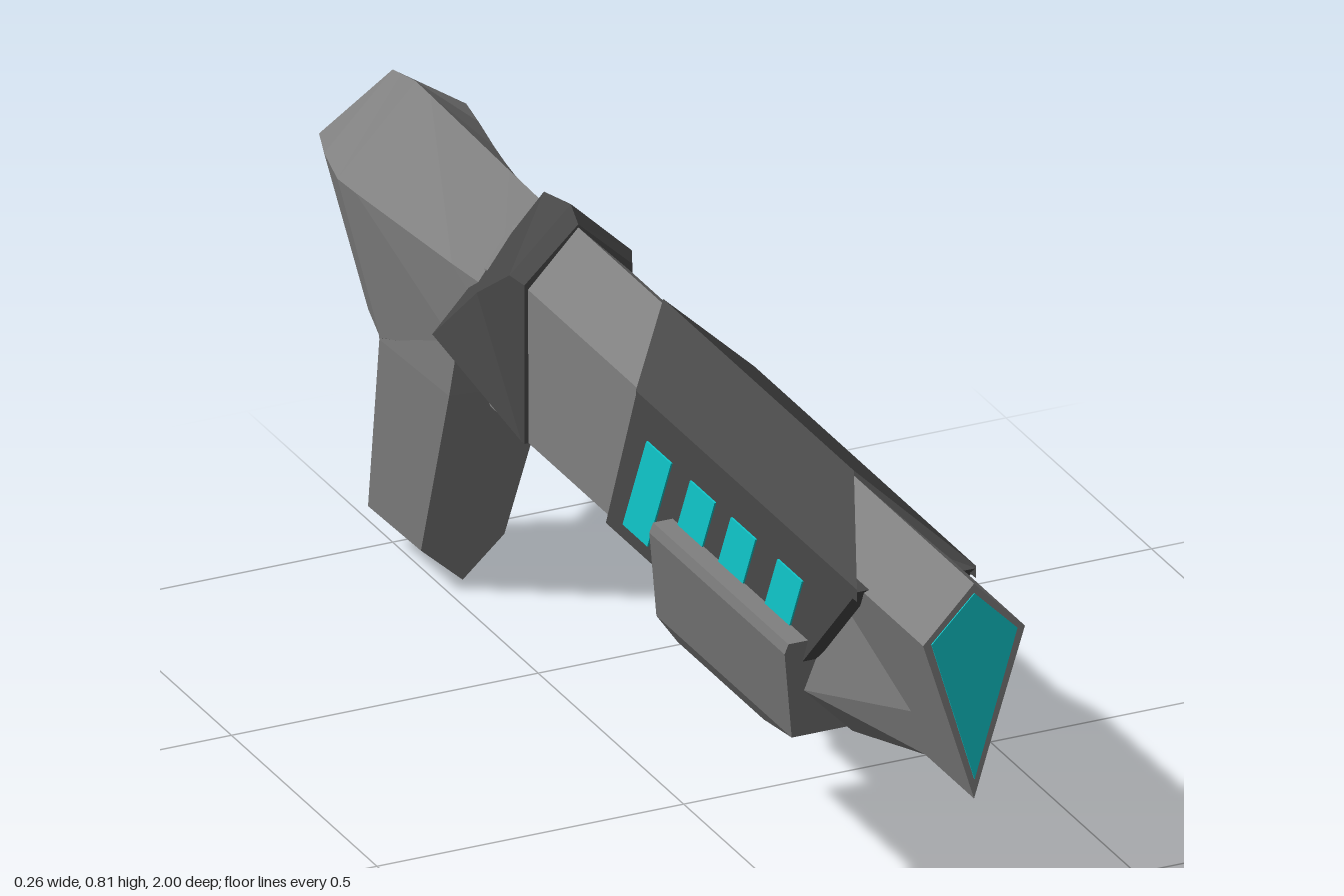
import * as THREE from 'three';

const mat = (color, side = THREE.FrontSide) =>
  new THREE.MeshStandardMaterial({ color, side, flatShading: true, roughness: 0.8 });
const GREY = mat(0x808080), DARK = mat(0x484848), CYAN = mat(0x10c8cc);

// Skins a list of equal-length rings of [x, y, z] points and caps both ends;
// the winding is turned outward by the sign of the enclosed volume.
function loft(name, material, rings) {
  const tris = [], n = rings[0].length, last = rings[rings.length - 1];
  for (let r = 0; r + 1 < rings.length; r++) {
    for (let i = 0; i < n; i++) {
      const j = (i + 1) % n, a = rings[r], b = rings[r + 1];
      tris.push([a[i], a[j], b[j]], [a[i], b[j], b[i]]);
    }
  }
  for (let i = 1; i + 1 < n; i++) {
    tris.push([rings[0][0], rings[0][i + 1], rings[0][i]], [last[0], last[i], last[i + 1]]);
  }
  const v = (p) => new THREE.Vector3(...p);
  const volume = tris.reduce((s, [a, b, c]) => s + v(a).dot(v(b).cross(v(c))), 0);
  if (volume < 0) tris.forEach((t) => t.reverse());
  const geometry = new THREE.BufferGeometry();
  geometry.setAttribute('position', new THREE.Float32BufferAttribute(tris.flat(2), 3));
  geometry.computeVertexNormals();
  const mesh = new THREE.Mesh(geometry, material);
  mesh.name = name;
  return mesh;
}

// Six-sided section at depth z: top ridge, shoulders, lower corners, keel
const hex = (z, top, sx, sy, lx, ly, bottom) => [
  [0, top, z], [sx, sy, z], [lx, ly, z], [0, bottom, z], [-lx, ly, z], [-sx, sy, z],
];
// Rectangle at height y
const rect = (y, x, z0, z1) => [[x, y, z0], [x, y, z1], [-x, y, z1], [-x, y, z0]];
// Plate lying on the side of the body, outline given as [z, y]
const plate = (name, material, side, x0, x1, outline) =>
  loft(name, material, [x0, x1].map((x) => outline.map(([z, y]) => [side * x, y, z])));

export function createModel() {
  const model = new THREE.Group();

  // Main barrel body
  model.add(loft('body', GREY, [
    hex(0.998, 0.785, 0.083, 0.7, 0.023, 0.51, 0.435),
    hex(0.83, 0.785, 0.083, 0.7, 0.023, 0.51, 0.435),
    hex(0.58, 0.785, 0.082, 0.7, 0.081, 0.45, 0.367),
    hex(-0.37, 0.785, 0.082, 0.7, 0.081, 0.45, 0.367),
    hex(-0.62, 0.74, 0.07, 0.64, 0.07, 0.5, 0.425),
  ]));

  // Glowing kite in the muzzle
  const kite = (z) => [[0, 0.77, z], [0.07, 0.7, z], [0, 0.467, z], [-0.07, 0.7, z]];
  model.add(loft('muzzleLight', CYAN, [kite(0.99), kite(1)]));

  for (const side of [1, -1]) {
    // Sloped top cover
    const cover = (drop) => [
      [0, 0.793 - drop, 0.585], [0, 0.793 - drop, -0.07],
      [side * 0.097, 0.71 - drop, 0.04], [side * 0.097, 0.71 - drop, 0.8],
    ];
    model.add(loft('topCover', DARK, [cover(0), cover(0.02)]));

    // Side panel and its slanted windows
    model.add(plate('sidePanel', DARK, side, 0.07, 0.096,
      [[0.8, 0.706], [0.04, 0.706], [-0.065, 0.45], [0.55, 0.45]]));
    for (const [z, y] of [[0.615, 0.55], [0.455, 0.55], [0.315, 0.55], [0.165, 0.475]]) {
      const shift = (0.645 - y) * 0.48;
      model.add(plate('window', CYAN, side, 0.09, 0.099,
        [[z, 0.645], [z - 0.085, 0.645], [z - 0.085 - shift, y], [z - shift, y]]));
    }
  }

  // Hand guard under the barrel
  model.add(loft('handGuard', GREY, [
    rect(0.555, 0.128, 0.63, 0.165),
    rect(0.535, 0.13, 0.621, 0.156),
    rect(0.355, 0.08, 0.54, 0.075),
    rect(0.305, 0.045, 0.37, 0.075),
  ]));

  // Collar with swept-back side points
  const collar = (top, tz, sx, sy, sz, lx, ly, lz, by, bz) => [
    [0, top, tz], [sx, sy, sz], [lx, ly, lz], [0, by, bz], [-lx, ly, lz], [-sx, sy, sz],
  ];
  model.add(loft('collar', DARK, [
    collar(0.79, -0.362, 0.088, 0.708, -0.362, 0.088, 0.45, -0.362, 0.45, -0.362),
    collar(0.812, -0.388, 0.1, 0.716, -0.388, 0.09, 0.452, -0.368, 0.452, -0.368),
    collar(0.793, -0.48, 0.1, 0.64, -0.5, 0.13, 0.54, -0.59, 0.5, -0.5),
  ]));

  // Rear stock
  model.add(loft('stock', GREY, [
    hex(-0.46, 0.774, 0.08, 0.645, 0.075, 0.56, 0.5),
    hex(-0.6, 0.777, 0.093, 0.643, 0.082, 0.5, 0.44),
    hex(-0.87, 0.784, 0.122, 0.649, 0.082, 0.405, 0.38),
    hex(-0.92, 0.785, 0.128, 0.652, 0.078, 0.43, 0.37),
    hex(-0.97, 0.776, 0.126, 0.672, 0.06, 0.475, 0.475),
    hex(-1, 0.77, 0.12, 0.69, 0.06, 0.66, 0.66),
  ]));

  // Grip, leaning slightly sideways toward its foot
  const gripRing = (cx, w, [fy, fz], [by, bz], [ridgeFy, ridgeFz], [ridgeBy, ridgeBz]) => [
    [cx, ridgeFy, ridgeFz], [cx + w, fy, fz], [cx + w, by, bz],
    [cx, ridgeBy, ridgeBz], [cx - w, by, bz], [cx - w, fy, fz],
  ];
  model.add(loft('grip', GREY, [
    gripRing(0, 0.088, [0.6, -0.59], [0.6, -0.88], [0.6, -0.58], [0.6, -0.93]),
    gripRing(0, 0.085, [0.53, -0.592], [0.5, -0.88], [0.53, -0.585], [0.47, -0.95]),
    gripRing(0.002, 0.083, [0.41, -0.635], [0.4, -0.875], [0.41, -0.625], [0.34, -0.915]),
    gripRing(0.025, 0.068, [0.075, -0.812], [0.07, -0.994], [0.014, -0.812], [0, -0.996]),
  ]));

  // Trigger button
  const trigger = new THREE.Mesh(new THREE.CylinderGeometry(0.034, 0.034, 0.06, 10), GREY);
  trigger.name = 'trigger';
  trigger.rotation.z = Math.PI / 2;
  trigger.position.set(0, 0.43, -0.59);
  model.add(trigger);

  return model;
}
